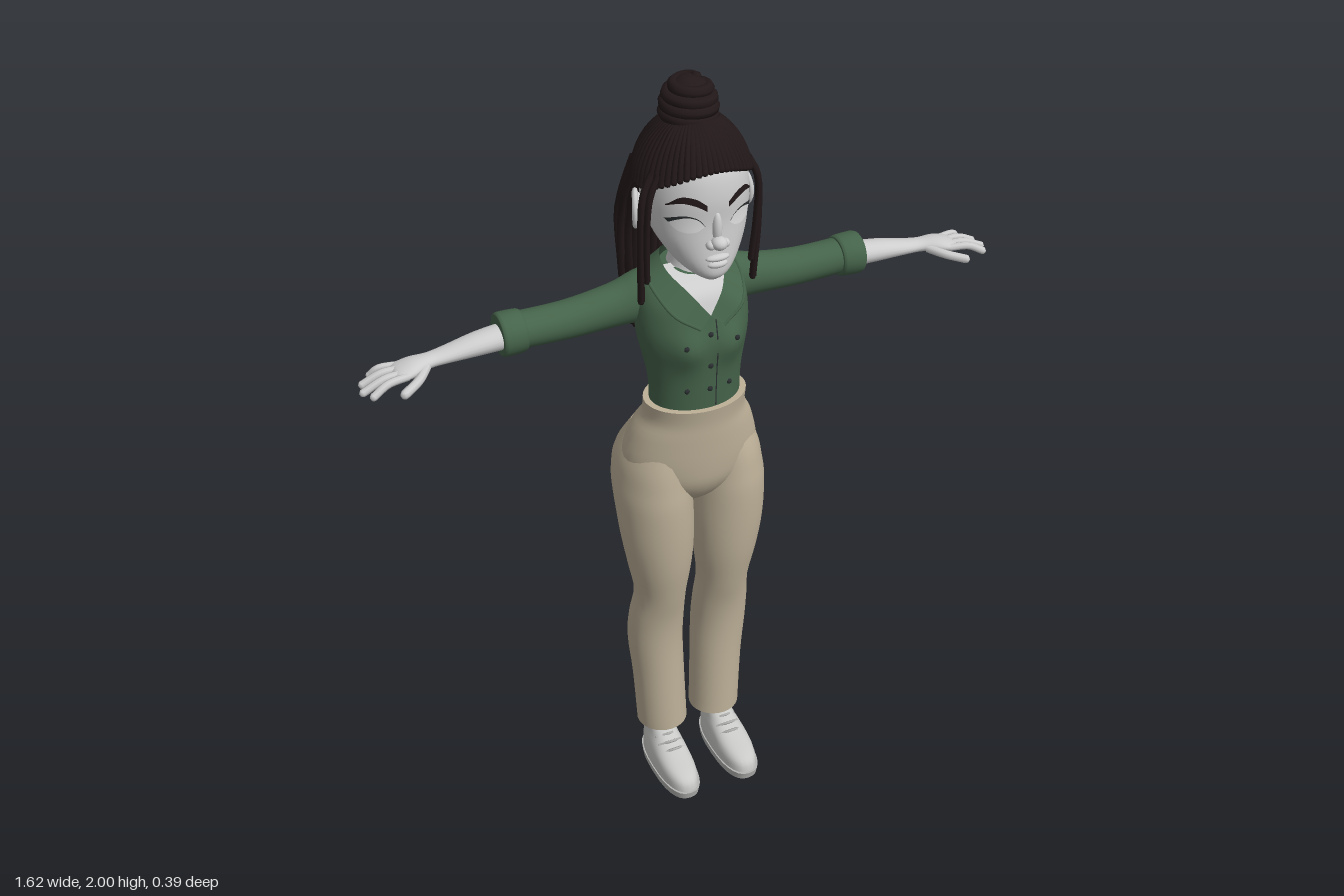
import * as THREE from 'three';
import { mergeGeometries } from 'three/addons/utils/BufferGeometryUtils.js';

const V = (x, y, z = 0) => new THREE.Vector3(x, y, z);
const material = (name, color) => Object.assign(new THREE.MeshStandardMaterial({ color, side: THREE.DoubleSide }), { name });
const curveOf = pts => new THREE.CatmullRomCurve3(pts.map(p => V(...p)));

// Smoothly resample rows of numbers
function smooth(rows, k) {
  const out = [];
  for (let i = 0; i < rows.length - 1; i++) for (let s = 0; s < k; s++) {
    const t = s / k, [a, b, c, d] = [-1, 0, 1, 2].map(o => rows[Math.min(Math.max(i + o, 0), rows.length - 1)]);
    out.push(b.map((_, n) => 0.5 * (2 * b[n] + (c[n] - a[n]) * t + (2 * a[n] - 5 * b[n] + 4 * c[n] - d[n]) * t * t
      + (3 * b[n] - a[n] - 3 * c[n] + d[n]) * t * t * t)));
  }
  out.push(rows[rows.length - 1]);
  return out;
}

// Loft of capped superellipses. Row: [position on axis, centre a, centre b, radius a, radius b]
function loft(rows, { axis = 'y', k = 4, n = 28, p = 2, deform } = {}) {
  const R = smooth(rows, k), pos = [], idx = [];
  const pw = v => Math.sign(v) * Math.abs(v) ** (2 / p);
  const put = (t, a, b) => {
    const v = axis === 'y' ? V(a, t, b) : V(t, a, -b);
    if (deform) deform(v);
    pos.push(v.x, v.y, v.z);
  };
  const ring = ([t, a, b, ra, rb]) => {
    const c = axis === 'y' ? b : -b;
    for (let j = 0; j < n; j++) put(t, a + ra * pw(Math.cos(j / n * 2 * Math.PI)), c + rb * pw(Math.sin(j / n * 2 * Math.PI)));
  };
  R.forEach(ring);
  for (let i = 0; i < R.length - 1; i++) for (let j = 0; j < n; j++) {
    const a = i * n + j, b = i * n + (j + 1) % n;
    idx.push(a, a + n, b, b, a + n, b + n);
  }
  for (const [r, top] of [[R[0], false], [R[R.length - 1], true]]) {
    const s = pos.length / 3;
    ring(r);
    put(r[0], r[1], axis === 'y' ? r[2] : -r[2]);
    for (let j = 0; j < n; j++) {
      const q = s + (j + 1) % n;
      idx.push(s + n, top ? q : s + j, top ? s + j : q);
    }
  }
  return finish(pos, idx);
}
function finish(pos, idx) {
  const g = new THREE.BufferGeometry();
  g.setAttribute('position', new THREE.Float32BufferAttribute(pos, 3));
  g.setIndex(idx);
  g.computeVertexNormals();
  return g;
}
// Rows given as [y, x centre, x radius, front z, back z]
const body = rows => rows.map(([y, x, rx, f, b]) => [y, x, (f + b) / 2, rx, (f - b) / 2]);

// Front z of a lofted body at x, y
function frontOf(rows, p = 2, bump = () => 0) {
  const R = smooth(rows, 6);
  return (x, y) => {
    let i = 0;
    while (i < R.length - 2 && R[i + 1][0] < y) i++;
    const t = (y - R[i][0]) / (R[i + 1][0] - R[i][0]), r = R[i].map((v, c) => v + (R[i + 1][c] - v) * t);
    return r[2] + r[4] * Math.max(0, 1 - Math.min(1, Math.abs(x - r[1]) / r[3]) ** p) ** (1 / p) + bump(x, y);
  };
}
// Strip between two curves, optionally laid onto a surface
function ribbon(A, B, { map = v => v, n = 16, m = 5, end = 1 } = {}) {
  const pos = [], idx = [], a = curveOf(A), b = curveOf(B);
  for (let i = 0; i <= n; i++) for (let j = 0; j <= m; j++) {
    const v = map(a.getPoint(i / n * end).lerp(b.getPoint(i / n * end), j / m));
    pos.push(v.x, v.y, v.z);
    const q = i * (m + 1) + j;
    if (i < n && j < m) idx.push(q, q + m + 1, q + 1, q + 1, q + m + 1, q + m + 2);
  }
  return finish(pos, idx);
}
const ball = (x, y, z, rx, ry = rx, rz = rx, n = 14) => new THREE.SphereGeometry(1, n, Math.max(4, n - 4)).scale(rx, ry, rz).translate(x, y, z);
function rope(pts, r, seg = 10, sides = 6) {
  const e = pts[pts.length - 1];
  return mergeGeometries([new THREE.TubeGeometry(curveOf(pts), seg, r, sides), ball(...e, r, r, r, sides)]);
}

export function createModel() {
  const model = new THREE.Group();
  const skin = material('skin', 0xcdcdcd), shirt = material('green cloth', 0x45634a), pants = material('beige cloth', 0xbdb098);
  const hair = material('dark hair', 0x221819), eyeWhite = material('eye white', 0xdedede), dark = material('dark trim', 0x2a2e30);
  const shoe = material('shoe', 0xc9c9c7), sole = material('sole', 0xb4b4b2);
  const add = (name, geo, mat) => {
    const m = new THREE.Mesh(geo, mat);
    m.name = name;
    model.add(m);
  };
  const pair = (name, geo, mat) => {
    const g = geo.clone().scale(-1, 1, 1), ix = g.index.array;
    for (let i = 0; i < ix.length; i += 3) [ix[i], ix[i + 1]] = [ix[i + 1], ix[i]];
    add(name + 'Left', geo, mat);
    add(name + 'Right', g, mat);
  };

  // Trousers
  add('hips', loft(body([[0.87, 0, 0.03, 0.03, -0.03], [0.91, 0, 0.09, 0.075, -0.075], [0.96, 0, 0.15, 0.105, -0.11],
    [1.02, 0, 0.176, 0.115, -0.125], [1.1, 0, 0.157, 0.12, -0.108], [1.15, 0, 0.132, 0.122, -0.08], [1.195, 0, 0.13, 0.128, -0.07]]), { n: 40 }), pants);
  pair('trouserLeg', loft(body([[0.13, 0.078, 0.068, 0.055, -0.08], [0.3, 0.085, 0.07, 0.05, -0.085], [0.42, 0.092, 0.074, 0.051, -0.09],
    [0.51, 0.092, 0.073, 0.06, -0.076], [0.6, 0.089, 0.068, 0.08, -0.06], [0.7, 0.092, 0.083, 0.1, -0.07], [0.8, 0.097, 0.094, 0.11, -0.086],
    [0.9, 0.1, 0.097, 0.113, -0.12], [0.96, 0.099, 0.094, 0.108, -0.142], [1.02, 0.094, 0.086, 0.1, -0.136], [1.09, 0.075, 0.07, 0.085, -0.1]])), pants);

  // Ankles and shoes
  pair('ankle', loft([[0.06, 0.085, -0.02, 0.032, 0.036], [0.12, 0.083, -0.018, 0.028, 0.031], [0.2, 0.08, -0.015, 0.03, 0.034]]), skin);
  pair('sole', loft(body([[0, 0.088, 0.052, 0.195, -0.066], [0.022, 0.088, 0.054, 0.2, -0.07]]), { k: 1, p: 2.5 }), sole);
  pair('shoe', loft(body([[0.022, 0.088, 0.051, 0.194, -0.066], [0.045, 0.088, 0.05, 0.188, -0.066], [0.062, 0.088, 0.047, 0.165, -0.066],
    [0.078, 0.087, 0.043, 0.115, -0.065], [0.095, 0.086, 0.038, 0.07, -0.064], [0.115, 0.085, 0.035, 0.04, -0.062]]), { k: 3, p: 2.4 }), shoe);
  const laces = [0, 1, 2].map(i => rope([[0.055, 0.078 + i * 0.01, 0.08 - i * 0.022], [0.086, 0.09 + i * 0.01, 0.092 - i * 0.022], [0.117, 0.078 + i * 0.01, 0.08 - i * 0.022]], 0.004, 8, 5));
  pair('laces', mergeGeometries(laces), sole);

  // Shirt body
  const torso = body([[1.17, 0, 0.114, 0.112, -0.058], [1.25, 0, 0.116, 0.115, -0.062], [1.31, 0, 0.126, 0.117, -0.075], [1.37, 0, 0.138, 0.118, -0.088],
    [1.42, 0, 0.14, 0.112, -0.092], [1.47, 0, 0.132, 0.1, -0.09], [1.51, 0, 0.11, 0.07, -0.083], [1.54, 0, 0.065, 0.04, -0.07]]);
  const bust = (x, y) => 0.022 * Math.exp(-(((Math.abs(x) - 0.058) / 0.042) ** 2) - ((y - 1.365) / 0.05) ** 2);
  add('shirtBody', loft(torso, { n: 48, deform: v => { if (v.z > 0.02) v.z += bust(v.x, v.y) * Math.min(1, (v.z - 0.02) / 0.05); } }), shirt);
  const chestZ = frontOf(torso, 2, bust);

  // Open collar and the skin inside it
  const inner = [[0, 1.45, 0.118], [0.042, 1.505, 0.092], [0.07, 1.54, 0.02], [0.05, 1.555, -0.055], [0, 1.555, -0.075]];
  const outer = [[0.03, 1.425, 0.127], [0.088, 1.465, 0.106], [0.112, 1.518, 0.01], [0.078, 1.512, -0.088], [0, 1.505, -0.1]];
  pair('collar', ribbon(inner, outer, { n: 28 }), shirt);
  pair('collarEdge', new THREE.TubeGeometry(curveOf(outer), 28, 0.004, 5), shirt);
  add('chestSkin', ribbon(inner, inner.map(([x, y, z]) => [-x, y, z]), { end: 0.55 }), skin);
  add('placket', ribbon([[0.006, 1.2], [0.006, 1.44]], [[0.009, 1.2], [0.009, 1.44]], { map: v => V(v.x + 0.008, v.y, chestZ(v.x, v.y) + 0.002), m: 1 }), dark);
  const buttons = [[0, 1.4], [0, 1.315], [0, 1.25], [0.065, 1.38], [-0.065, 1.38], [0.055, 1.25], [-0.055, 1.25]];
  add('buttons', mergeGeometries(buttons.map(([x, y]) => ball(x, y, chestZ(x, y) + 0.001, 0.007, 0.007, 0.004, 10))), dark);

  // Arms
  pair('sleeve', loft([[0.06, 1.46, -0.033, 0.07, 0.05], [0.12, 1.454, -0.035, 0.064, 0.053], [0.18, 1.443, -0.037, 0.053, 0.049],
    [0.3, 1.433, -0.037, 0.046, 0.046], [0.43, 1.438, -0.033, 0.043, 0.047]], { axis: 'x' }), shirt);
  pair('cuff', loft([[0.408, 1.438, -0.031, 0.045, 0.047], [0.415, 1.438, -0.03, 0.051, 0.052], [0.46, 1.439, -0.028, 0.053, 0.053], [0.468, 1.439, -0.028, 0.047, 0.047]], { axis: 'x', k: 2 }), shirt);
  pair('forearm', loft([[0.44, 1.438, -0.024, 0.03, 0.037], [0.52, 1.434, -0.022, 0.026, 0.034], [0.6, 1.426, -0.02, 0.018, 0.027],
    [0.64, 1.424, -0.016, 0.016, 0.025], [0.68, 1.424, -0.006, 0.017, 0.037], [0.715, 1.42, -0.002, 0.013, 0.04], [0.727, 1.418, -0.002, 0.006, 0.034]], { axis: 'x', n: 20 }), skin);
  const fingers = [[-0.031, 0.778, -0.048, 1.402], [-0.012, 0.803, -0.018, 1.4], [0.009, 0.81, 0.014, 1.399], [0.027, 0.795, 0.046, 1.403]]
    .map(([z, x, tip, y], i) => rope([[0.7, 1.422, z], [0.75, 1.42, (z + tip) / 2], [x - 0.009, y, tip]], i ? 0.0095 : 0.008, 8, 8));
  fingers.push(rope([[0.65, 1.421, 0.005], [0.68, 1.415, 0.042], [0.722, 1.406, 0.07]], 0.011, 8, 8));
  pair('fingers', mergeGeometries(fingers), skin);

  // Neck and head
  add('neck', loft(body([[1.48, 0, 0.075, 0.07, -0.07], [1.53, 0, 0.055, 0.05, -0.062], [1.58, 0, 0.047, 0.045, -0.05], [1.66, 0, 0.055, 0.05, -0.06]])), skin);
  const head = body([[1.556, 0, 0.02, 0.135, 0.085], [1.572, 0, 0.046, 0.151, 0.035], [1.6, 0, 0.074, 0.153, -0.005], [1.65, 0, 0.104, 0.148, -0.05], [1.7, 0, 0.119, 0.145, -0.09],
    [1.76, 0, 0.123, 0.147, -0.115], [1.82, 0, 0.113, 0.135, -0.115], [1.87, 0, 0.083, 0.1, -0.085], [1.9, 0, 0.04, 0.06, -0.05]]);
  add('head', loft(head, { n: 40, p: 2.15 }), skin);
  const faceZ = frontOf(head, 2.15), onFace = off => v => V(v.x, v.y, faceZ(v.x, v.y) + off);
  add('nose', mergeGeometries([ball(0, 1.658, 0.156, 0.019, 0.016, 0.021), ball(0.017, 1.653, 0.149, 0.012, 0.011, 0.014),
    ball(-0.017, 1.653, 0.149, 0.012, 0.011, 0.014), ball(0, 1.69, 0.143, 0.012, 0.04, 0.014)]), skin);
  add('lips', mergeGeometries([ball(0, 1.619, 0.148, 0.03, 0.009, 0.014), ball(0, 1.603, 0.147, 0.026, 0.01, 0.015)]), skin);
  const lid = [[0.03, 1.7], [0.044, 1.717], [0.066, 1.724], [0.086, 1.718], [0.1, 1.708]];
  pair('eye', ribbon(lid, [[0.03, 1.7], [0.045, 1.689], [0.066, 1.685], [0.087, 1.692], [0.1, 1.708]], { map: onFace(0.003) }), eyeWhite);
  pair('lashes', ribbon(lid, lid.map(([x, y], i) => [x + i * 0.0015, y + 0.002 + i * 0.0012]), { map: onFace(0.005), m: 2 }), dark);
  pair('eyebrow', ribbon([[0.026, 1.752], [0.05, 1.769], [0.078, 1.772], [0.104, 1.75]], [[0.026, 1.738], [0.05, 1.752], [0.078, 1.758], [0.104, 1.748]], { map: onFace(0.004) }), hair);
  const ear = mergeGeometries([ball(0, 0, 0, 0.012, 0.04, 0.024), new THREE.TorusGeometry(0.025, 0.007, 8, 20).rotateY(Math.PI / 2).scale(1, 1.5, 0.95).translate(0.006, 0.003, 0)]);
  pair('ear', ear.rotateX(-0.2).rotateY(0.4).translate(0.13, 1.7, 0.005), skin);

  // Hair drawn up over the skull into a bun
  const scalp = (a, s, grow) => {
    const low = 1.768 + 0.062 * Math.max(0, Math.cos(a)) ** 1.5, f0 = Math.asin((low - 1.755) / 0.163), f = f0 + (1.3 - f0) * s;
    return [(0.127 + grow) * Math.cos(f) * Math.sin(a), 1.755 + (0.155 + grow) * Math.sin(f), 0.012 + (0.139 + grow) * Math.cos(f) * Math.cos(a)];
  };
  const cap = new THREE.PlaneGeometry(1, 1, 48, 10), cp = cap.attributes.position;
  for (let i = 0; i < cp.count; i++) cp.setXYZ(i, ...scalp((cp.getX(i) + 0.5) * 2 * Math.PI, cp.getY(i) + 0.5, 0));
  cap.computeVertexNormals();
  add('hairCap', cap, hair);
  const steps = [0, 0.2, 0.4, 0.6, 0.8, 1], locks = [];
  for (let i = 0; i < 56; i++) locks.push(rope(steps.map(s => scalp(i / 56 * 2 * Math.PI, s, 0.003)).reverse(), 0.0085, 10, 6));
  add('pulledLocks', mergeGeometries(locks), hair);
  const coil = [];
  for (let i = 0; i <= 48; i++) {
    const t = i / 48, a = t * 8 * Math.PI, r = 0.056 * Math.sqrt(1 - t ** 3 * 0.9);
    coil.push([r * Math.cos(a), 1.9 + 0.084 * t, -0.004 + r * Math.sin(a)]);
  }
  add('bun', mergeGeometries([rope(coil, 0.0145, 140, 7), ball(0, 1.94, -0.004, 0.056, 0.055, 0.056)]), hair);

  // Loose locks hanging down the back
  let seed = 7;
  const rnd = () => (seed = (seed * 16807) % 2147483647) / 2147483647;
  const hanging = [];
  for (let k = 0; k < 4; k++) for (let i = 0; i < 14; i++) {
    const d = k / 3, u = (i + (k % 2) * 0.5) / 13.5 * 2 - 1, q = u * u, j = (rnd() - 0.5) * 0.012;
    hanging.push(rope([[u * 0.112, 1.75 + 0.04 * d, -0.06 - 0.065 * d + 0.055 * q], [u * 0.122, 1.7, -0.085 - 0.077 * d + 0.05 * q],
      [u * 0.118 + j, 1.62, -0.1 - 0.082 * d + 0.035 * q], [u * 0.11, 1.48, -0.113 - 0.07 * d + 0.015 * q],
      [u * 0.092 + j, 1.275 + 0.08 * rnd() + 0.03 * q, -0.135 - 0.04 * d]], 0.0095, 14, 6));
  }
  add('hangingLocks', mergeGeometries(hanging), hair);

  // Loose locks framing the face
  pair('faceLocks', mergeGeometries([
    rope([[0.115, 1.81, 0.055], [0.14, 1.76, 0.06], [0.147, 1.65, 0.058], [0.143, 1.485, 0.045]], 0.0085, 16, 6),
    rope([[0.11, 1.81, 0.075], [0.132, 1.76, 0.078], [0.137, 1.66, 0.068], [0.132, 1.54, 0.055]], 0.0075, 16, 6)]), hair);
  return model;
}
